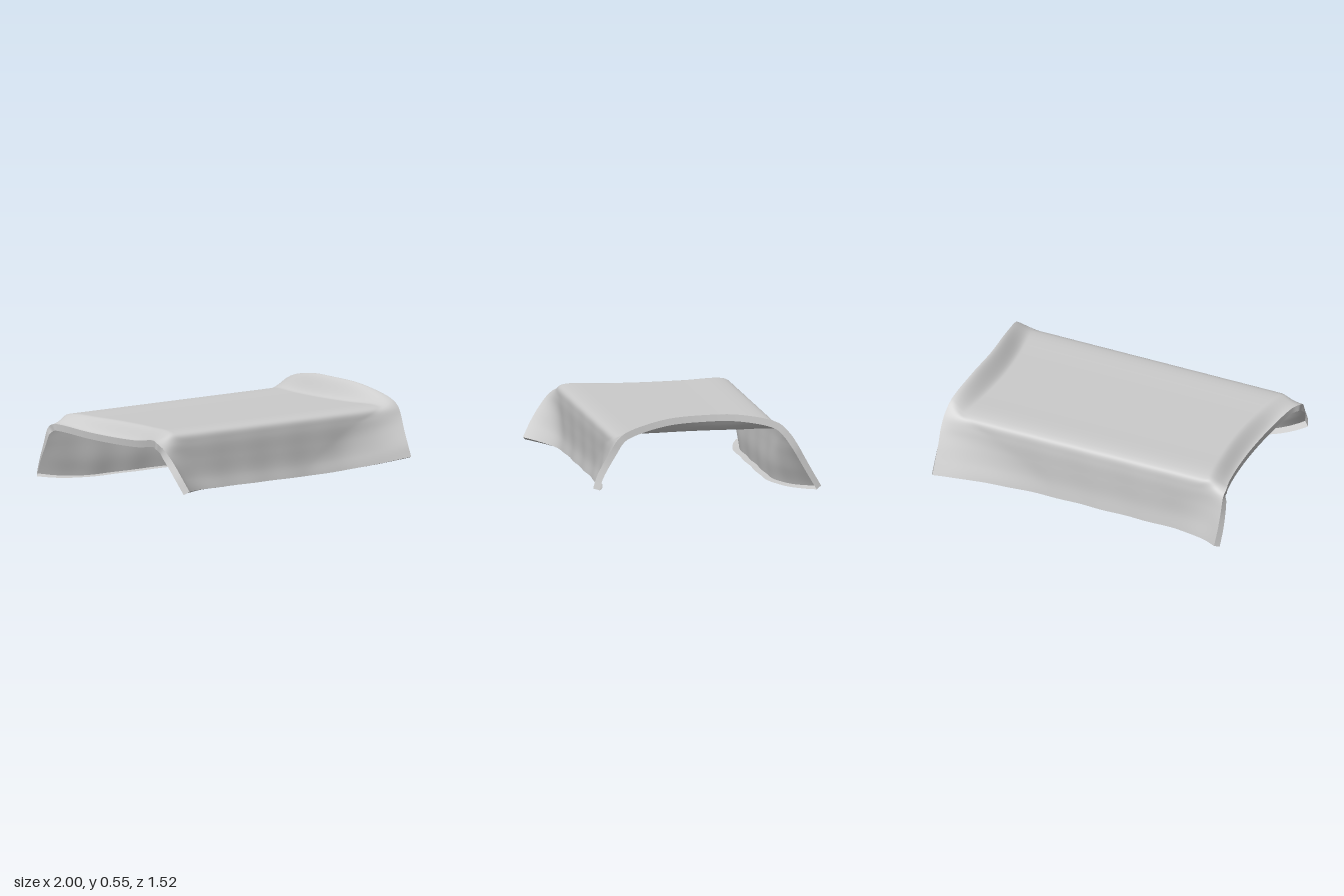
import * as THREE from 'three';

const RIM_DEPTH = 0.043, ROWS = 110, COLS = 84;
const curve = (pts) => new THREE.CatmullRomCurve3(pts.map((p) => new THREE.Vector3(...p)));
const { smoothstep, lerp } = THREE.MathUtils;

// Cross-sections run from the front hem, over the top, to the back hem
const middle = curve([
  [0, 0.06, 0.577], [0, 0.14, 0.562], [0, 0.25, 0.56], [0, 0.36, 0.559], [0, 0.415, 0.547],
  [0, 0.437, 0.5], [0, 0.439, 0.25], [0, 0.439, 0], [0, 0.439, -0.25], [0, 0.437, -0.51],
  [0, 0.415, -0.558], [0, 0.35, -0.57], [0, 0.24, -0.57], [0, 0.12, -0.569], [0, 0.014, -0.58],
]);
// Left end curls up into an arch
const leftEnd = curve([
  [0.96, 0.125, 0.71], [0.955, 0.2, 0.685], [0.96, 0.28, 0.645], [0.975, 0.37, 0.595], [0.98, 0.43, 0.558],
  [0.97, 0.475, 0.5], [0.935, 0.543, 0.25], [0.92, 0.56, 0], [0.935, 0.555, -0.25], [0.967, 0.5, -0.49],
  [0.98, 0.435, -0.56], [0.985, 0.36, -0.61], [0.98, 0.27, -0.66], [0.978, 0.18, -0.71], [0.975, 0.085, -0.765],
]);
// Right end droops over
const rightEnd = curve([
  [-0.925, 0.09, 0.76], [-0.95, 0.18, 0.71], [-0.97, 0.27, 0.65], [-0.99, 0.345, 0.585], [-1, 0.38, 0.53],
  [-0.975, 0.39, 0.46], [-0.925, 0.36, 0.25], [-0.905, 0.35, 0], [-0.915, 0.357, -0.25], [-0.95, 0.38, -0.47],
  [-0.965, 0.38, -0.53], [-0.965, 0.35, -0.58], [-0.965, 0.25, -0.62], [-0.963, 0.15, -0.66], [-0.955, 0.045, -0.70],
]);

// Cloth surface: u runs from right to left end, v along the cross-section
function clothPoint(u, v) {
  const hem = smoothstep(Math.abs(v - 0.5) * 2, 0.3, 1);
  const end = (u > 0 ? leftEnd : rightEnd).getPoint(v);
  const start = lerp(0.88, u > 0 ? 0.2 : 0.5, hem);
  const t = Math.max(0, (Math.abs(u) - start) / (1 - start));
  // the top bends in an S, the hems flare out steadily
  const w = lerp(smoothstep(t, 0, 1), Math.pow(t, u > 0 ? 2 : 3), smoothstep(hem, 0, 0.5));
  const p = middle.getPoint(v).lerp(end, w);
  p.x = Math.abs(u) * end.x;
  // faint ripples in the hanging sides
  p.z += Math.sign(0.5 - v) * 0.003 * hem * Math.sin(u * 19 + v * 4) * (1 - w);
  return p;
}

function clothNormal(u, v) {
  const e = 0.004;
  const u0 = Math.max(-1, u - e), u1 = Math.min(1, u + e);
  const v0 = Math.max(0, v - e), v1 = Math.min(1, v + e);
  const du = clothPoint(u1, v).sub(clothPoint(u0, v));
  const dv = clothPoint(u, v1).sub(clothPoint(u, v0));
  return du.cross(dv).normalize();
}

// Skin a grid of points
function sheet(name, rows, material) {
  const n = rows[0].length, index = [];
  for (let i = 0; i < rows.length - 1; i++) {
    for (let j = 0; j < n - 1; j++) {
      const a = i * n + j, b = a + n;
      index.push(a, b, b + 1, a, b + 1, a + 1);
    }
  }
  const geometry = new THREE.BufferGeometry().setFromPoints(rows.flat());
  geometry.setIndex(index);
  geometry.computeVertexNormals();
  const mesh = new THREE.Mesh(geometry, material);
  mesh.name = name;
  return mesh;
}

export function createModel() {
  const group = new THREE.Group();
  group.name = 'drapedCloth';
  const material = new THREE.MeshStandardMaterial({ color: 0xcccccc, side: THREE.DoubleSide });

  const us = Array.from({ length: ROWS + 1 }, (_, i) => Math.sin((i / ROWS - 0.5) * Math.PI));
  const vs = Array.from({ length: COLS + 1 }, (_, j) => j / COLS);
  const cloth = us.map((u) => vs.map((v) => clothPoint(u, v)));

  // A rim strip runs along an edge and turns inward
  const inward = (u, v) => clothPoint(u, v).addScaledVector(clothNormal(u, v), -RIM_DEPTH);
  const endRim = (u) => [vs.map((v) => clothPoint(u, v)), vs.map((v) => inward(u, v))];
  const hemRim = (v) => [us.map((u) => clothPoint(u, v)), us.map((u) => inward(u, v))];

  // Thin cloth with a turned-in rim on all four edges
  group.add(
    sheet('cloth', cloth, material),
    sheet('leftRim', endRim(1), material),
    sheet('rightRim', endRim(-1).reverse(), material),
    sheet('frontHem', hemRim(0), material),
    sheet('backHem', hemRim(1).reverse(), material),
  );

  // Stand on the ground
  group.position.y = -new THREE.Box3().setFromObject(group).min.y;
  return group;
}
